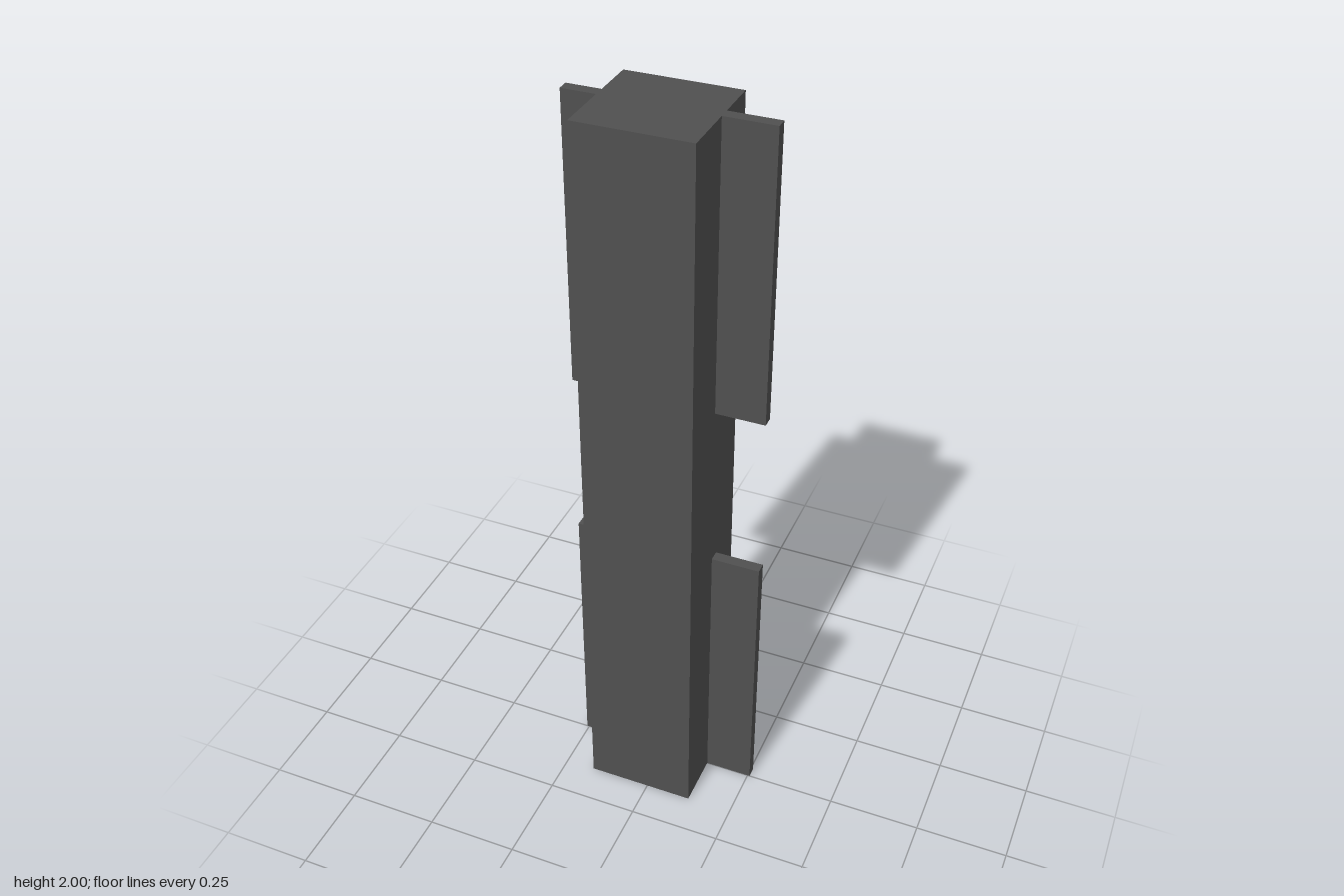
import * as THREE from 'three';

export function createModel() {
  const group = new THREE.Group();
  const material = new THREE.MeshStandardMaterial({ color: 0x505050, flatShading: true });

  // Box given by its minimum and maximum corners
  function addBox(name, [x0, y0, z0], [x1, y1, z1]) {
    const mesh = new THREE.Mesh(new THREE.BoxGeometry(x1 - x0, y1 - y0, z1 - z0), material);
    mesh.position.set((x0 + x1) / 2, (y0 + y1) / 2, (z0 + z1) / 2);
    mesh.name = name;
    group.add(mesh);
  }

  // Square post, slightly off centre in x
  const postLeft = 0.126, postRight = -0.168, finReach = 0.256;
  addBox('post', [postRight, 0, -0.146], [postLeft, 2, 0.146]);

  // Thin fins on both sides, at the lower and upper ends of the post
  for (const [level, y0, y1] of [['lower', 0, 0.77], ['upper', 1.23, 2]]) {
    addBox(level + 'LeftFin', [postLeft, y0, -0.03], [finReach, y1, 0]);
    addBox(level + 'RightFin', [-finReach, y0, -0.03], [postRight, y1, 0]);
  }

  return group;
}
